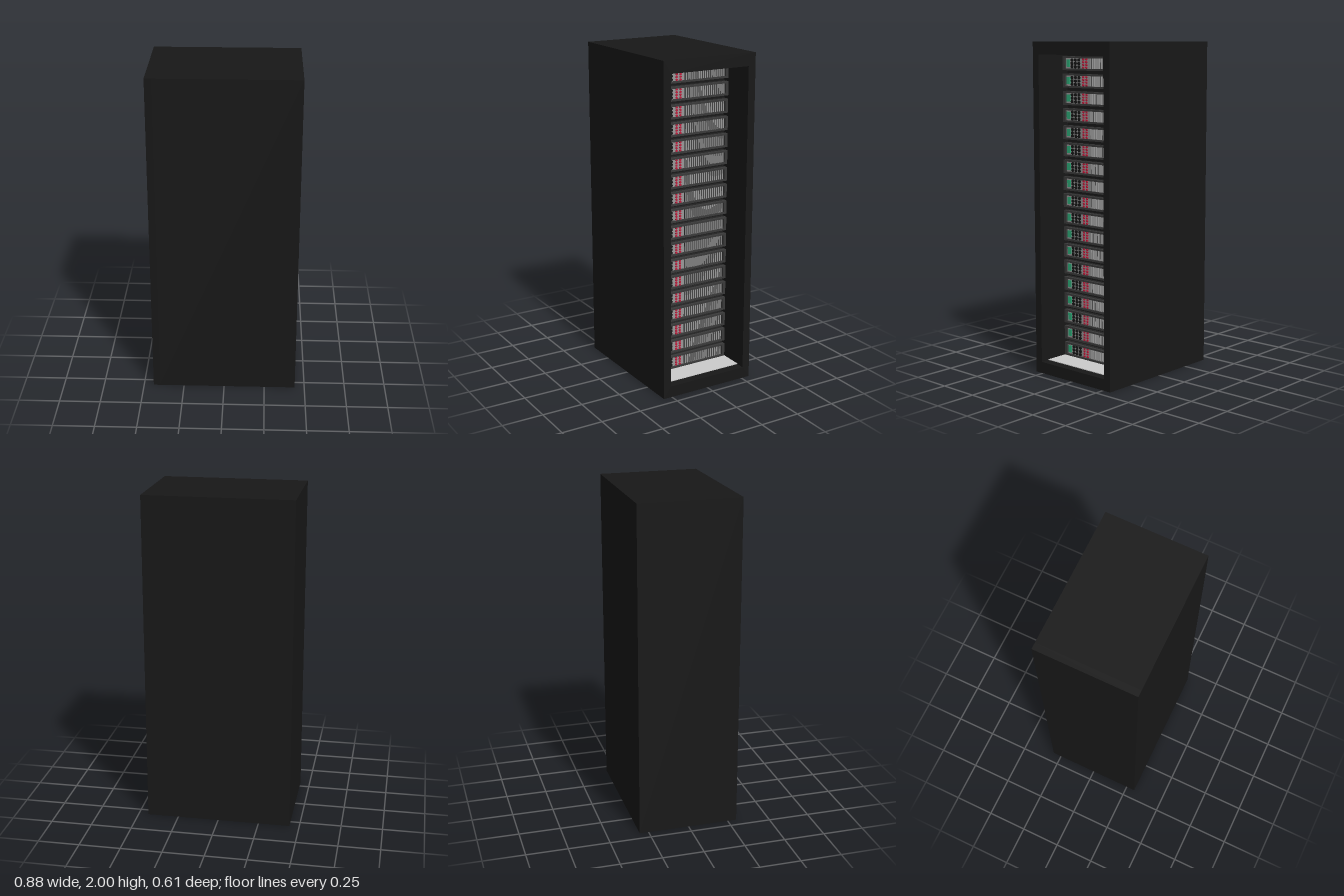
import * as THREE from 'three';
import { mergeGeometries } from 'three/addons/utils/BufferGeometryUtils.js';

const mat = (color) => new THREE.MeshStandardMaterial({ color });

// Box centred at (x, y, z)
const box = (w, h, d, x, y, z) => new THREE.BoxGeometry(w, h, d).translate(x, y, z);

// Round button facing +x
const button = (r, x, y, z) =>
  new THREE.CylinderGeometry(r, r, 0.008, 12).rotateZ(-Math.PI / 2).translate(x, y, z);

// Evenly spaced (z, y) grid of parts
function grid(zs, ys, make) {
  return mergeGeometries(zs.flatMap((z) => ys.map((y) => make(y, z))));
}

function add(parent, name, geometry, material) {
  const mesh = new THREE.Mesh(geometry, material);
  mesh.name = name;
  parent.add(mesh);
}

export function createModel() {
  const model = new THREE.Group();
  model.name = 'serverRack';
  const black = mat(0x181818);

  // Cabinet sleeve, open towards +x
  const W = 0.305, IN = 0.258, H = 2;
  const outline = new THREE.Shape([
    new THREE.Vector2(-W, 0), new THREE.Vector2(W, 0),
    new THREE.Vector2(W, H), new THREE.Vector2(-W, H),
  ]);
  outline.holes.push(new THREE.Path([
    new THREE.Vector2(-IN, 0.07), new THREE.Vector2(-IN, 1.925),
    new THREE.Vector2(IN, 1.925), new THREE.Vector2(IN, 0.07),
  ]));
  const sleeve = new THREE.ExtrudeGeometry(outline, { depth: 0.84, bevelEnabled: false });
  sleeve.rotateY(Math.PI / 2).translate(-0.4, 0, 0);
  add(model, 'cabinet', sleeve, black);
  add(model, 'closedEnd', box(0.04, H, 2 * W, -0.42, H / 2, 0), black);
  add(model, 'innerPanel', box(0.02, 1.855, 2 * IN, 0.19, 0.9975, 0), black);
  add(model, 'floorPlate', box(0.185, 0.004, 2 * IN, 0.2925, 0.072, 0), mat(0xcccccc));

  // Geometry of one server unit, centred on its own height
  const X = 0.225, h = 0.083, w = 0.512, t = 0.011;
  const bars = Array.from({ length: 20 }, (_, i) => 0.026 - i * 0.0143);
  const parts = [
    ['body', box(0.56, h, w, X - 0.28, 0, 0), mat(0x222222)],
    ['bezel', mergeGeometries([
      box(0.018, t, w, X + 0.009, h / 2 - t / 2, 0),
      box(0.018, t, w, X + 0.009, -h / 2 + t / 2, 0),
      box(0.018, h - 2 * t, 0.018, X + 0.009, 0, w / 2 - 0.009),
      box(0.018, h - 2 * t, 0.018, X + 0.009, 0, -w / 2 + 0.009),
    ]), mat(0x3a3a3a)],
    ['controlPanel', box(0.006, 0.061, 0.2, X + 0.003, 0, 0.138), mat(0x999999)],
    ['statusLight', box(0.006, 0.042, 0.027, X + 0.008, 0, 0.218), mat(0x2fae7b)],
    ['blackButtons', grid([0.186, 0.158, 0.13], [-0.02, 0, 0.02],
      (y, z) => button(0.0095, X + 0.009, y, z)), mat(0x161616)],
    ['redLights', grid([0.094, 0.068], [-0.024, -0.008, 0.008, 0.024],
      (y, z) => button(0.0065, X + 0.009, y, z)), mat(0xc01c3c)],
    ['ventBars', grid(bars, [0], (y, z) => box(0.008, 0.061, 0.0062, X + 0.004, y, z)), mat(0x999999)],
  ];

  // Stack of eighteen units
  for (let i = 0; i < 18; i++) {
    const unit = new THREE.Group();
    unit.name = `server${i + 1}`;
    unit.position.y = 0.116 + i * 0.1033;
    for (const [name, geometry, material] of parts) add(unit, name, geometry, material);
    model.add(unit);
  }
  return model;
}
